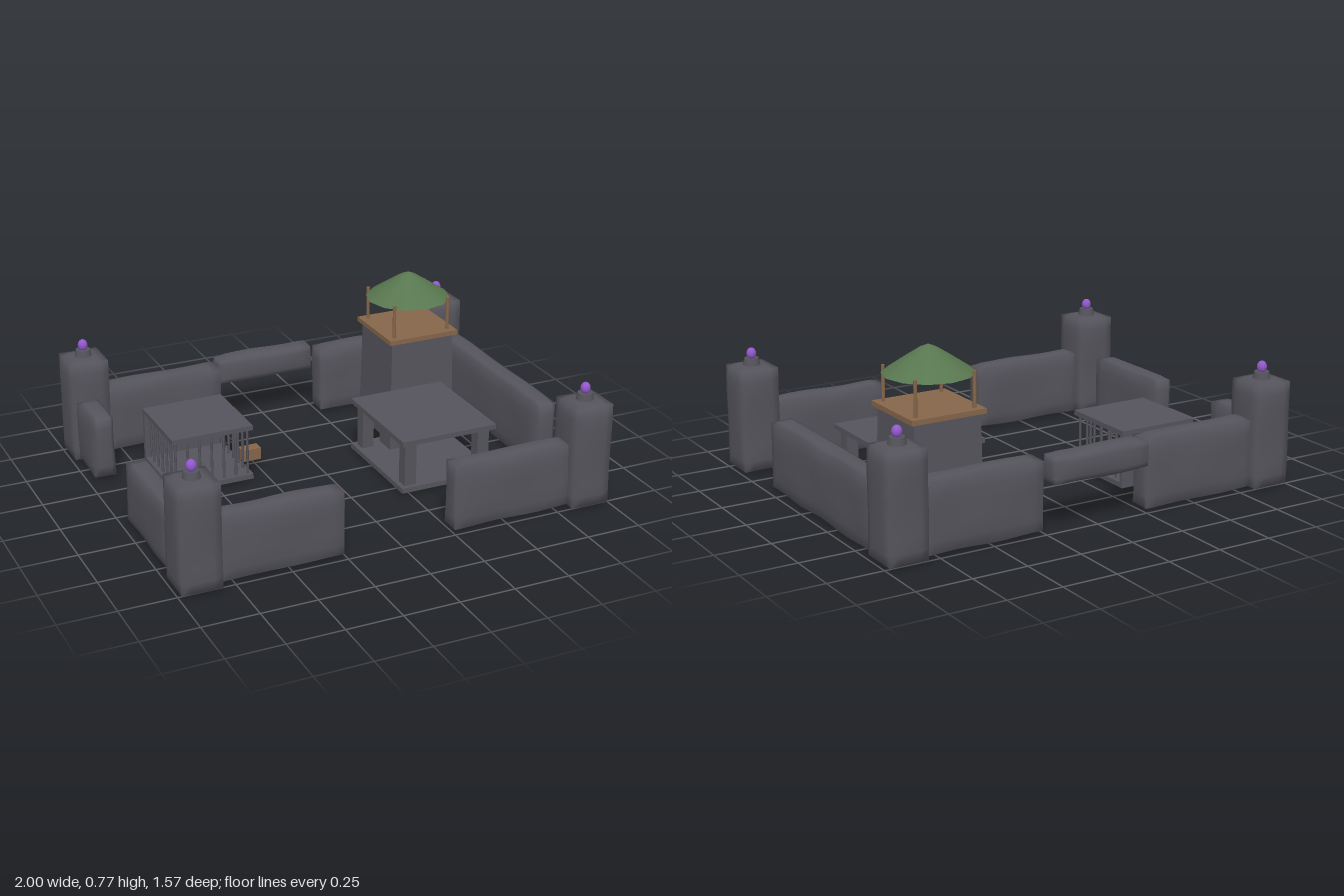
import * as THREE from 'three';
import { mergeVertices } from 'three/addons/utils/BufferGeometryUtils.js';

const material = (name, color) => {
  const m = new THREE.MeshStandardMaterial({ color });
  m.name = name;
  return m;
};

export function createModel() {
  const stone = material('dark stone', 0x55545c);
  const wood = material('wood', 0x86664a);
  const green = material('green roof', 0x58774f);
  const purple = material('purple crystal', 0x9258cc);
  const model = new THREE.Group();

  function add(parent, name, geometry, mat, x = 0, y = 0, z = 0) {
    const mesh = new THREE.Mesh(geometry, mat);
    mesh.name = name;
    mesh.position.set(x, y, z);
    parent.add(mesh);
    return mesh;
  }

  function group(name, x = 0, z = 0) {
    const g = new THREE.Group();
    g.name = name;
    g.position.set(x, 0, z);
    model.add(g);
    return g;
  }

  // Plain box given by its extents
  function box(parent, name, mat, [x0, x1], [y0, y1], [z0, z1]) {
    return add(parent, name, new THREE.BoxGeometry(x1 - x0, y1 - y0, z1 - z0), mat,
      (x0 + x1) / 2, (y0 + y1) / 2, (z0 + z1) / 2);
  }

  // Worn stone block: softened edges, gently uneven faces, smooth normals
  function roughBlock(parent, name, [x0, x1], [y0, y1], [z0, z1], wobble = 0.006) {
    const size = [x1 - x0, y1 - y0, z1 - z0];
    const mid = [(x0 + x1) / 2, (y0 + y1) / 2, (z0 + z1) / 2];
    const segs = size.map((s) => Math.max(4, Math.round(s / 0.06)));
    let geo = new THREE.BoxGeometry(...size, ...segs);
    geo.deleteAttribute('uv');
    geo.deleteAttribute('normal');
    geo = mergeVertices(geo, 1e-4);
    const pos = geo.attributes.position;
    for (let i = 0; i < pos.count; i++) {
      const p = [pos.getX(i), pos.getY(i), pos.getZ(i)];
      const outer = p.map((v, k) => Math.abs(v) > size[k] / 2 - 1e-4);
      const count = outer.filter(Boolean).length;
      const w = p.map((v, k) => v + mid[k]);
      const q = p.map((v, k) => {
        if (!outer[k]) return v;
        const a = w[(k + 1) % 3], b = w[(k + 2) % 3];
        const wave = Math.sin(a * 13 + k * 2 + mid[0] * 5) * Math.cos(b * 17 + mid[2] * 7);
        return v - Math.sign(v) * ((count > 1 ? 0.009 : 0) + wobble * (0.5 + 0.5 * wave));
      });
      pos.setXYZ(i, ...q);
    }
    geo.computeVertexNormals();
    return add(parent, name, geo, stone, ...mid);
  }

  // Corner towers with crystal finials
  for (const sx of [-1, 1]) for (const sz of [-1, 1]) {
    const tower = group('cornerTower', sx * 0.9, sz * 0.682);
    roughBlock(tower, 'towerBody', [-0.1, 0.1], [0, 0.487], [-0.1, 0.1]);
    add(tower, 'finialBase', new THREE.CylinderGeometry(0.033, 0.04, 0.035, 12), stone, 0, 0.495, 0);
    const crystal = add(tower, 'crystal', new THREE.SphereGeometry(0.022, 16, 12), purple, 0, 0.533, 0);
    crystal.scale.y = 1.2;
  }

  // Curtain walls
  const walls = group('walls');
  for (const s of [-1, 1]) {
    const span = s < 0 ? [-0.83, -0.247] : [0.247, 0.83];
    roughBlock(walls, 'frontWall', span, [0.002, 0.315], [0.625, 0.74]);
    roughBlock(walls, 'backWall', span, [0.002, 0.33], [-0.745, -0.62]);
  }
  roughBlock(walls, 'leftWall', [0.86, 0.98], [0.002, 0.326], [-0.61, 0.355]);
  roughBlock(walls, 'rightFrontWall', [-0.98, -0.862], [0.01, 0.297], [0.055, 0.56]);
  roughBlock(walls, 'rightBackWall', [-0.98, -0.862], [0.01, 0.31], [-0.61, -0.355]);
  roughBlock(walls, 'gateLintel', [-0.246, 0.24], [0.207, 0.341], [-0.788, -0.672]);

  // Watchtower: tapered stone base, wooden deck, four posts, conical roof
  const watch = group('watchtower', 0.577, -0.358);
  const base = new THREE.BoxGeometry(0.33, 0.49, 0.33);
  const bp = base.attributes.position;
  for (let i = 0; i < bp.count; i++) {
    if (bp.getY(i) > 0) bp.setXYZ(i, bp.getX(i) * 0.94, bp.getY(i), bp.getZ(i) * 0.94);
  }
  base.computeVertexNormals();
  add(watch, 'watchtowerBase', base, stone, 0, 0.245, 0);
  add(watch, 'deck', new THREE.BoxGeometry(0.346, 0.022, 0.346), wood, 0, 0.498, 0);
  for (const sx of [-1, 1]) for (const sz of [-1, 1]) {
    add(watch, 'roofPost', new THREE.CylinderGeometry(0.008, 0.008, 0.16, 8), wood, sx * 0.137, 0.585, sz * 0.137);
  }
  const roofProfile = [[0, 0.646], [0.195, 0.646], [0.195, 0.646], [0.1, 0.71], [0.035, 0.752], [0, 0.766]];
  add(watch, 'conicalRoof', new THREE.LatheGeometry(
    roofProfile.map(([r, y]) => new THREE.Vector2(r, y)), 12), green);

  // Open smithy: floor, roof slab, corner posts and a forge
  const smithy = group('smithy');
  const sx = [0.21, 0.672], sz = [-0.192, 0.333];
  box(smithy, 'smithyFloor', stone, sx, [0.012, 0.035], sz);
  box(smithy, 'smithyRoof', stone, sx, [0.237, 0.26], sz);
  for (const x of [0.26, 0.622]) for (const z of [-0.142, 0.283]) {
    box(smithy, 'smithyPost', stone, [x - 0.028, x + 0.028], [0.03, 0.24], [z - 0.028, z + 0.028]);
  }
  box(smithy, 'forgeBase', stone, [0.34, 0.47], [0.035, 0.11], [-0.16, -0.05]);
  box(smithy, 'forgeHood', stone, [0.36, 0.45], [0.11, 0.165], [-0.145, -0.065]);

  // Cage: floor, roof, solid back and bars on the other sides
  const cage = group('cage', -0.514, -0.272);
  const h = 0.19;
  box(cage, 'cageFloor', stone, [-h, h], [0.012, 0.035], [-h, h]);
  box(cage, 'cageRoof', stone, [-h, h], [0.25, 0.272], [-h, h]);
  box(cage, 'cageBack', stone, [-h, h], [0.03, 0.255], [-h, -h + 0.02]);
  const bar = new THREE.CylinderGeometry(0.006, 0.006, 0.22, 6);
  for (let i = 0; i < 7; i++) {
    const t = -0.17 + i * 0.34 / 6;
    add(cage, 'frontBar', bar, stone, t, 0.143, 0.17);
    add(cage, 'leftBar', bar, stone, 0.17, 0.143, t);
    add(cage, 'rightBar', bar, stone, -0.17, 0.143, t);
  }
  box(cage, 'lockBox', wood, [0.18, 0.268], [0.05, 0.105], [0.037, 0.09]);

  return model;
}
